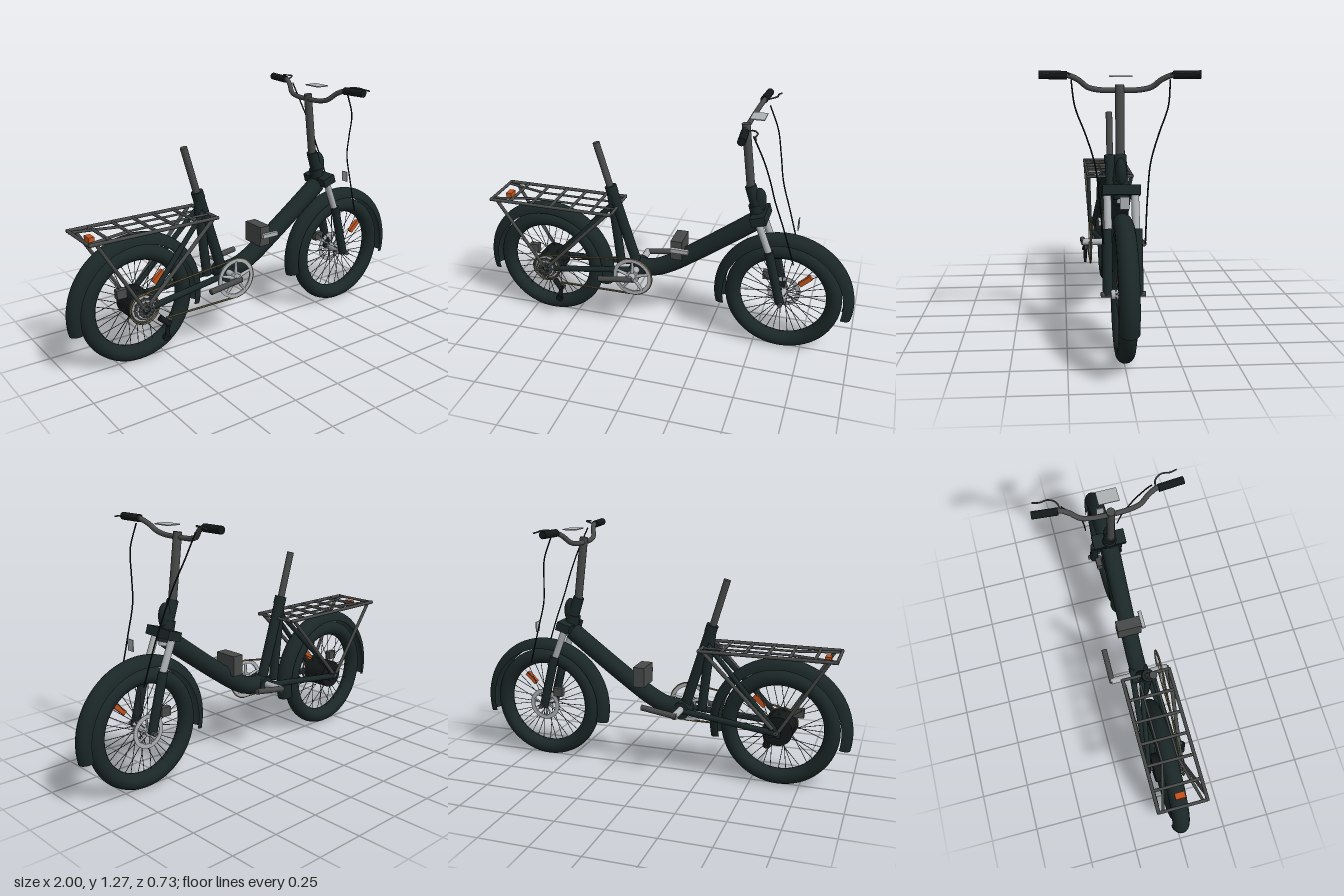
import * as THREE from 'three';

const mat = (name, color, side = THREE.FrontSide) => {
  const m = new THREE.MeshStandardMaterial({ color, side });
  m.name = name;
  return m;
};
const V = (p) => new THREE.Vector3(...p);

export function createModel() {
  const bike = new THREE.Group();
  bike.name = 'foldingBike';
  const paint = mat('frame paint', 0x1b2727, THREE.DoubleSide);
  const black = mat('rubber black', 0x131818);
  const grey = mat('dark grey metal', 0x484a4a);
  const silver = mat('silver metal', 0xaeb2b5, THREE.DoubleSide);
  const spokeGrey = mat('spoke grey', 0x5a5c5e);
  const brass = mat('chain brass', 0x665c42);
  const orange = mat('reflector orange', 0xc2521c);

  const add = (name, geo, material, parent = bike) => {
    const m = new THREE.Mesh(geo, material);
    m.name = name;
    parent.add(m);
    return m;
  };
  // straight round bar between two points
  const bar = (name, a, b, r, material, r2 = r, parent = bike, sides = 16) => {
    const p = V(a), q = V(b);
    const m = add(name, new THREE.CylinderGeometry(r2, r, p.distanceTo(q), sides), material, parent);
    m.position.copy(p).add(q).multiplyScalar(0.5);
    m.quaternion.setFromUnitVectors(new THREE.Vector3(0, 1, 0), q.sub(p).normalize());
    return m;
  };
  const box = (name, size, pos, material, parent = bike) => {
    const m = add(name, new THREE.BoxGeometry(...size), material, parent);
    m.position.set(...pos);
    return m;
  };
  const tube = (name, pts, r, material, seg = 40, sides = 10) =>
    add(name, new THREE.TubeGeometry(new THREE.CatmullRomCurve3(pts.map(V)), seg, r, sides), material);
  // disc with round holes, lying in the xy plane
  const disc = (name, r, holeR, thick, pos, material, holes = 0, ringR = 0, smallR = 0, parent = bike) => {
    const s = new THREE.Shape().absarc(0, 0, r, 0, Math.PI * 2);
    if (holeR) s.holes.push(new THREE.Path().absarc(0, 0, holeR, 0, Math.PI * 2, true));
    for (let i = 0; i < holes; i++) {
      const a = i / holes * Math.PI * 2;
      s.holes.push(new THREE.Path().absarc(ringR * Math.cos(a), ringR * Math.sin(a), smallR, 0, Math.PI * 2, true));
    }
    const g = new THREE.ExtrudeGeometry(s, { depth: thick, bevelEnabled: false, curveSegments: 20 });
    g.translate(0, 0, -thick / 2);
    const m = add(name, g, material, parent);
    m.position.set(...pos);
    return m;
  };

  // wheels with tyre, rim, spokes and mudguard
  const makeWheel = (name, x, hubR, hubHalf, hubMat) => {
    const w = new THREE.Group();
    w.name = name;
    w.position.set(x, 0.3, 0);
    bike.add(w);
    add('tyre', new THREE.TorusGeometry(0.26, 0.04, 16, 64), paint, w);
    const rim = [[0.228, -0.018], [0.228, 0.018], [0.245, 0.022], [0.245, -0.022], [0.228, -0.018]];
    add('rim', new THREE.LatheGeometry(rim.map((p) => new THREE.Vector2(...p)), 64), black, w).rotation.x = Math.PI / 2;
    bar('hub', [0, 0, -hubHalf], [0, 0, hubHalf], hubR, hubMat, hubR, w, 32);
    bar('axle', [0, 0, -0.1], [0, 0, 0.1], 0.012, grey, 0.012, w);
    const n = 36;
    for (let i = 0; i < n; i++) {
      const a = i / n * Math.PI * 2, b = a + (i % 4 < 2 ? 0.3 : -0.3), z = i % 2 ? 0.035 : -0.035;
      bar('spoke', [hubR * 0.9 * Math.cos(b), hubR * 0.9 * Math.sin(b), z],
        [0.232 * Math.cos(a), 0.232 * Math.sin(a), 0], 0.0018, spokeGrey, 0.0018, w, 5);
    }
    const prof = [];
    for (let i = 0; i <= 12; i++) {
      const a = (i / 12 - 0.5) * Math.PI;
      prof.push(new THREE.Vector2(0.308 + 0.052 * Math.cos(a), 0.045 * Math.sin(a)));
    }
    const half = 1.8;
    add('mudguard', new THREE.LatheGeometry(prof, 48, Math.PI - half, half * 2), paint, w).rotation.x = Math.PI / 2;
    box('spokeReflector', [0.075, 0.024, 0.02], [0.11, 0.12, 0.025], orange, w).rotation.z = 0.75;
    return w;
  };
  const rear = makeWheel('rearWheel', -0.64, 0.075, 0.065, black);
  const front = makeWheel('frontWheel', 0.64, 0.022, 0.055, silver);
  disc('frontBrakeRotor', 0.085, 0.062, 0.004, [0, 0, -0.045], silver, 0, 0, 0, front);
  for (let i = 0; i < 6; i++) {
    const a = i / 6 * Math.PI * 2;
    bar('rotorArm', [0.015 * Math.cos(a), 0.015 * Math.sin(a), -0.045],
      [0.066 * Math.cos(a + 0.4), 0.066 * Math.sin(a + 0.4), -0.045], 0.005, silver, 0.005, front, 6);
  }
  box('frontCaliper', [0.052, 0.045, 0.03], [-0.09, 0.08, -0.055], grey, front);
  box('rearCaliper', [0.052, 0.045, 0.03], [-0.09, 0.08, 0.02], grey, rear);

  // cassette and derailleur
  [0.078, 0.066, 0.056, 0.047, 0.039].forEach((r, i) =>
    disc('sprocket', r, r * 0.55, 0.004, [0, 0, 0.07 + i * 0.008], i % 2 ? silver : grey, 12, r * 0.8, r * 0.07, rear));
  add('sprocketChain', new THREE.TorusGeometry(0.076, 0.005, 6, 40), brass, rear).position.z = 0.085;
  bar('derailleurArm', [-0.58, 0.25, 0.115], [-0.535, 0.21, 0.135], 0.015, black);
  bar('derailleurCage', [-0.535, 0.23, 0.13], [-0.553, 0.15, 0.13], 0.011, black);
  disc('upperPulley', 0.018, 0, 0.012, [-0.535, 0.225, 0.125], grey);
  disc('lowerPulley', 0.02, 0, 0.014, [-0.553, 0.148, 0.13], black);

  // frame: swept main tube, seat tubes, chain stays
  tube('mainTube', [[0.48, 0.71, 0], [0.36, 0.62, 0], [0.16, 0.475, 0], [0.04, 0.395, 0], [-0.04, 0.358, 0], [-0.14, 0.345, 0]],
    0.047, paint, 48, 20);
  bar('bottomBracket', [-0.135, 0.345, -0.05], [-0.135, 0.345, 0.05], 0.045, paint);
  bar('seatTube', [-0.145, 0.36, 0], [-0.28, 0.79, 0], 0.027, paint);
  bar('seatBrace', [-0.235, 0.35, 0], [-0.28, 0.76, 0], 0.024, paint);
  bar('seatClamp', [-0.272, 0.76, 0], [-0.285, 0.8, 0], 0.031, paint);
  bar('seatPost', [-0.27, 0.74, 0], [-0.355, 1.03, 0], 0.018, grey);
  for (const s of [-1, 1]) {
    bar('chainStay', [-0.13, 0.345, s * 0.04], [-0.64, 0.295, s * 0.085], 0.016, paint);
    bar('seatStay', [-0.27, 0.7, s * 0.03], [-0.64, 0.305, s * 0.085], 0.013, paint);
    box('dropout', [0.06, 0.05, 0.012], [-0.63, 0.3, s * 0.085], paint);
  }

  // head, folding stem and suspension fork
  bar('headTube', [0.5, 0.7, 0], [0.472, 0.8, 0], 0.036, paint);
  bar('steererCollar', [0.508, 0.685, 0], [0.5, 0.74, 0], 0.022, silver);
  bar('foldingJoint', [0.485, 0.78, 0], [0.442, 0.895, 0], 0.033, paint, 0.028);
  const hinge = add('hingeBulge', new THREE.SphereGeometry(0.04, 20, 14), paint);
  hinge.scale.set(0.9, 1.7, 0.7);
  hinge.position.set(0.49, 0.82, 0);
  bar('stem', [0.447, 0.87, 0], [0.405, 1.21, 0], 0.021, grey);
  box('forkCrown', [0.075, 0.045, 0.172], [0.502, 0.742, 0], paint).rotation.z = 0.3;
  for (const s of [-1, 1]) {
    bar('forkStanchion', [0.5, 0.73, s * 0.063], [0.57, 0.55, s * 0.063], 0.018, silver);
    bar('forkLower', [0.562, 0.58, s * 0.068], [0.635, 0.295, s * 0.068], 0.023, paint);
  }

  // handlebar, grips, levers and brake cables
  const barHalf = [[0.455, 1.255, 0.35], [0.45, 1.255, 0.24], [0.435, 1.235, 0.19], [0.415, 1.2, 0.145], [0.408, 1.187, 0.09]];
  const mirror = (pts, s) => pts.map(([x, y, z]) => [x, y, z * s]);
  tube('handlebar', [...barHalf, [0.405, 1.185, 0], ...mirror(barHalf, -1).reverse()], 0.0125, grey, 80, 12);
  for (const s of [-1, 1]) {
    bar('grip', [0.445, 1.254, s * 0.238], [0.455, 1.256, s * 0.362], 0.019, black);
    tube('brakeLever', mirror([[0.445, 1.255, 0.225], [0.485, 1.265, 0.235], [0.508, 1.266, 0.27], [0.505, 1.264, 0.31], [0.515, 1.26, 0.345]], s),
      0.004, grey, 20, 6);
    tube('brakeCable', mirror([[0.48, 1.235, 0.22], [0.53, 1.12, 0.205], [0.56, 1.0, 0.16], [0.585, 0.88, 0.123], [0.63, 0.74, 0.105], [0.69, 0.54, 0.09]], s),
      0.0035, black, 40, 6);
  }
  box('display', [0.07, 0.005, 0.1], [0.465, 1.25, 0], silver);
  box('headlight', [0.005, 0.055, 0.04], [0.69, 0.72, 0], silver);

  // battery catch on the main tube
  box('foldLatchBox', [0.06, 0.105, 0.13], [0.087, 0.508, -0.003], grey);
  box('foldLatchLever', [0.095, 0.022, 0.018], [0.108, 0.515, 0.075], silver);

  // crankset: ring, arms, axle
  disc('chainring', 0.105, 0.085, 0.008, [-0.135, 0.345, 0.115], silver);
  disc('chainringCentre', 0.035, 0, 0.01, [-0.135, 0.345, 0.115], silver);
  for (let i = 0; i < 5; i++) {
    const a = i / 5 * Math.PI * 2 + 0.3;
    bar('chainringArm', [-0.135, 0.345, 0.115],
      [-0.135 + 0.09 * Math.cos(a), 0.345 + 0.09 * Math.sin(a), 0.115], 0.011, silver, 0.007, bike, 8);
  }
  bar('crankAxle', [-0.135, 0.352, -0.16], [-0.135, 0.352, 0.155], 0.018, silver);
  bar('rightCrank', [-0.125, 0.348, 0.15], [-0.31, 0.325, 0.152], 0.015, grey);
  bar('leftCrank', [-0.145, 0.352, -0.155], [0.04, 0.38, -0.155], 0.015, grey);

  // chain runs
  bar('chainTop', [-0.63, 0.378, 0.085], [-0.13, 0.449, 0.115], 0.005, brass, 0.005, bike, 6);
  bar('chainBottom', [-0.545, 0.24, 0.118], [-0.14, 0.241, 0.115], 0.005, brass, 0.005, bike, 6);
  const wrap = add('chainWrap', new THREE.TorusGeometry(0.105, 0.005, 6, 32, Math.PI), brass);
  wrap.position.set(-0.135, 0.345, 0.115);
  wrap.rotation.z = -Math.PI / 2;

  // luggage rack
  for (const s of [-1, 1]) {
    bar('rackSideRail', [-0.92, 0.69, s * 0.12], [-0.24, 0.69, s * 0.12], 0.009, grey, 0.009, bike, 10);
    bar('rackRearStay', [-0.88, 0.685, s * 0.118], [-0.65, 0.31, s * 0.095], 0.009, grey, 0.009, bike, 10);
    bar('rackFrontStay', [-0.27, 0.685, s * 0.118], [-0.62, 0.32, s * 0.095], 0.01, grey, 0.01, bike, 10);
    bar('rackBrace', [-0.92, 0.688, s * 0.1], [-0.69, 0.688, s * 0.04], 0.007, grey, 0.007, bike, 8);
    bar('rackInnerRail', [-0.69, 0.688, s * 0.04], [-0.245, 0.688, s * 0.04], 0.006, grey, 0.006, bike, 8);
  }
  for (const x of [-0.915, -0.81, -0.69, -0.58, -0.47, -0.355, -0.245])
    bar('rackCrossBar', [x, 0.69, -0.12], [x, 0.69, 0.12], 0.008, grey, 0.008, bike, 10);
  box('rearReflector', [0.03, 0.035, 0.05], [-0.862, 0.672, 0], orange);

  return bike;
}
